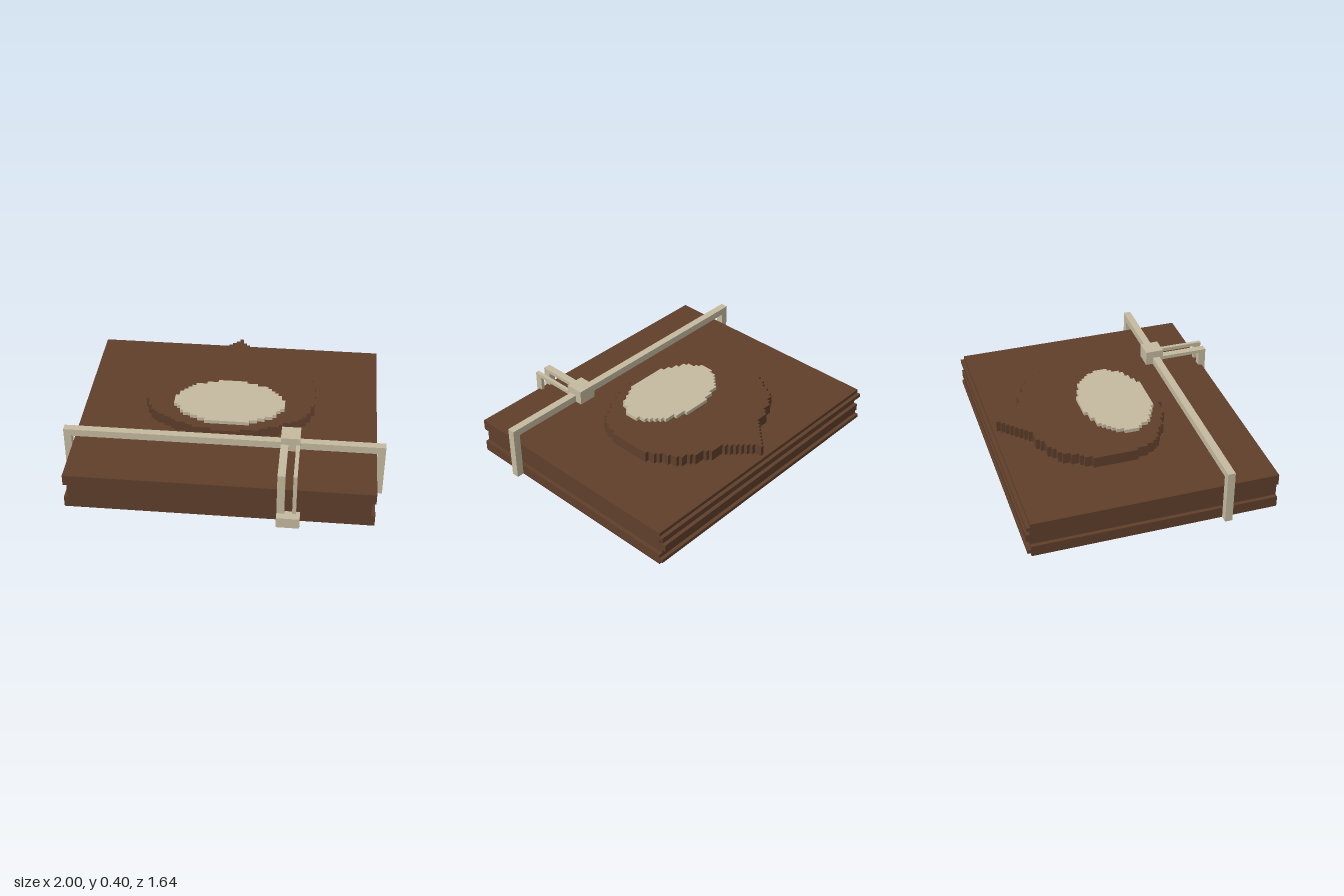
import * as THREE from 'three';

// One grid cell: the model is 84 cells wide
const C = 1 / 42;

export function createModel() {
  const leather = new THREE.MeshStandardMaterial({ color: 0x5f3f2b });
  leather.name = 'brown leather';
  const metal = new THREE.MeshStandardMaterial({ color: 0xc4ba9f });
  metal.name = 'pale metal';

  const model = new THREE.Group();
  model.name = 'claspedBook';

  // Box between two corners, given in cells
  function block(name, material, [x0, x1], [y0, y1], [z0, z1]) {
    const mesh = new THREE.Mesh(
      new THREE.BoxGeometry((x1 - x0) * C, (y1 - y0) * C, (z1 - z0) * C), material);
    mesh.position.set((x0 + x1) / 2 * C, (y0 + y1) / 2 * C, (z0 + z1) / 2 * C);
    mesh.name = name;
    model.add(mesh);
  }

  // Plate with a stepped outline: one half width per row, from back to front
  function steppedPlate(name, material, rows, z0, [y0, y1]) {
    const right = [], left = [];
    rows.forEach((w, i) => {
      for (const z of [z0 + i, z0 + i + 1]) {
        right.push(new THREE.Vector2(Math.max(w, 1) * C, z * C));
        left.push(new THREE.Vector2(-w * C, z * C));
      }
    });
    const shape = new THREE.Shape([...right, ...left.reverse()]);
    const geometry = new THREE.ExtrudeGeometry(shape, { depth: (y1 - y0) * C, bevelEnabled: false });
    geometry.rotateX(Math.PI / 2).translate(0, y1 * C, 0);
    const mesh = new THREE.Mesh(geometry, material);
    mesh.name = name;
    model.add(mesh);
  }

  // Book: two covers and the recessed pages between them
  const depth = [-33.5, 31.5];
  block('lowerCover', leather, [-40, 40], [0, 3], depth);
  block('pages', leather, [-39, 39], [3, 7], depth);
  block('upperCover', leather, [-40, 40], [7, 10], depth);

  // Raised bands along the back edge
  const back = [-34.5, -33.5];
  block('lowerSpineBand', leather, [-40, 40], [1, 2], back);
  block('middleSpineBand', leather, [-39, 39], [4, 6], back);
  block('upperSpineBand', leather, [-40, 40], [8, 9], back);

  // Drop-shaped relief and the oval plate on it
  const dropRows = [0, 1, 2, 3, 4, 5, 6, 7, 11, 12, 15, 16, 18, 19, 19, 20, 20, 21, 22, 22,
    ...Array(12).fill(23),
    22, 22, 22, 21, 21, 20, 19, 17, 15, 14, 11, 9, 4];
  steppedPlate('dropRelief', leather, dropRows, -32.5, [10, 13]);
  const ovalRows = [4, 7, 10, 11, 12, 13, 14, 14, 15, 15, 15, 15, 14, 13, 13, 12, 10, 8, 6];
  steppedPlate('ovalPlate', metal, ovalRows, -9.5, [13, 14]);

  // Bar across the cover with a leg at each side
  const barZ = [16.5, 18.5];
  block('crossBar', metal, [-40, 40], [13, 15], barZ);
  block('leftBarLeg', metal, [40, 42], [0, 15], barZ);
  block('rightBarLeg', metal, [-42, -40], [0, 15], barZ);

  // Clasp: hinge block, two bent straps and the foot
  block('claspHinge', metal, [15, 20], [13, 17], [14.5, 19.5]);
  for (const [name, x] of [['wideStrap', [15, 17]], ['narrowStrap', [19, 20]]]) {
    block(name + 'Top', metal, x, [14, 15], [19.5, 30.5]);
    block(name + 'Front', metal, x, [3, 15], [30.5, 32.5]);
  }
  block('claspFoot', metal, [15, 21], [0, 3], [31.5, 34.5]);

  return model;
}
